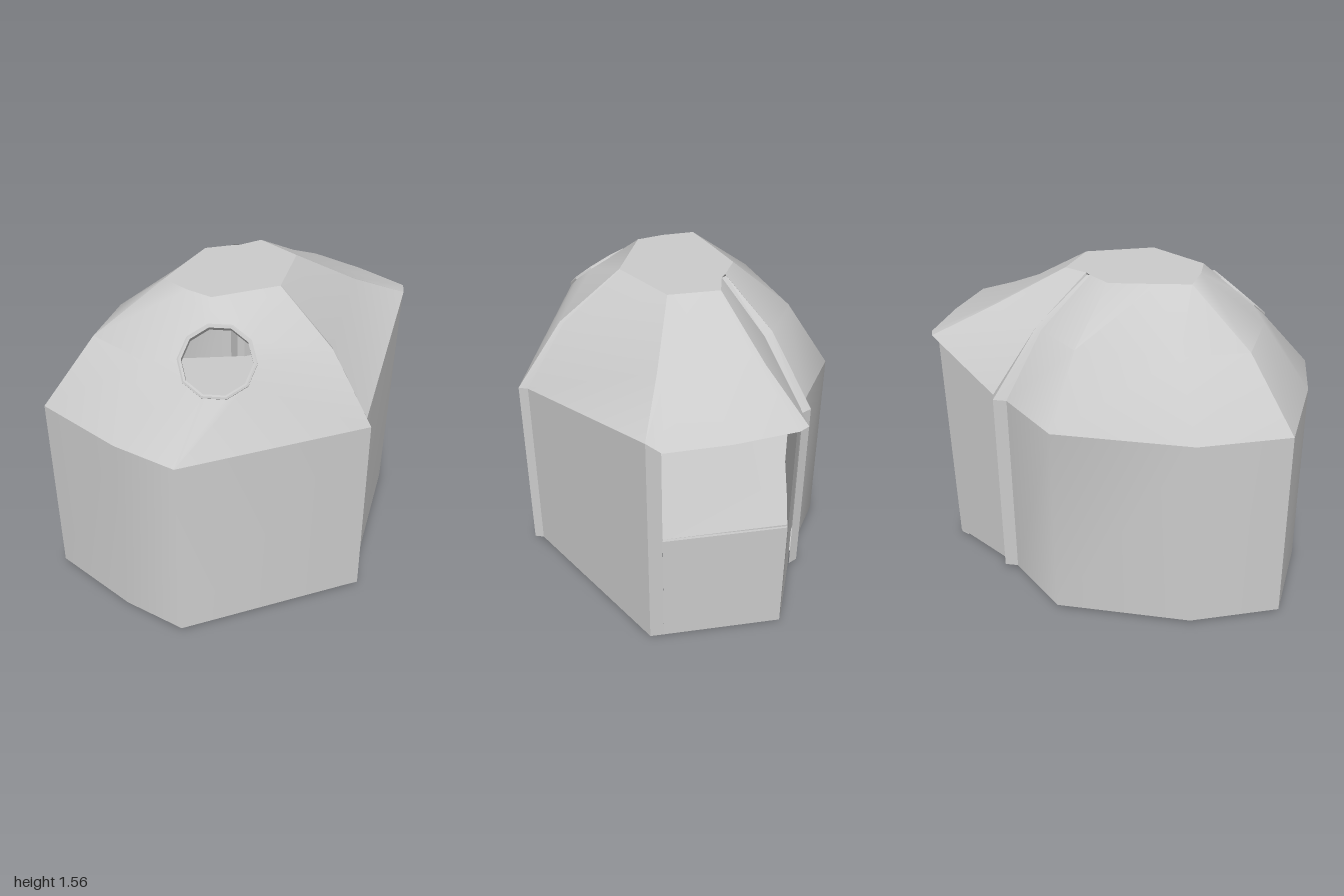
import * as THREE from 'three';
import { toCreasedNormals } from 'three/addons/utils/BufferGeometryUtils.js';

const V = (x, y, z) => new THREE.Vector3(x, y, z);
const material = new THREE.MeshStandardMaterial({ color: 0xcccccc, side: THREE.DoubleSide });

// triangle list (flat array of Vector3) to a named mesh
function meshOf(name, tris, crease = 0.95) {
  const g = new THREE.BufferGeometry().setFromPoints(tris);
  const mesh = new THREE.Mesh(toCreasedNormals(g, crease), material);
  mesh.name = name;
  return mesh;
}

// skin between rings of equal length, listed from bottom to top
function loft(rings, closed = false) {
  const tris = [], n = rings[0].length;
  for (let r = 0; r < rings.length - 1; r++) {
    for (let i = 0; i < (closed ? n : n - 1); i++) {
      const j = (i + 1) % n;
      const a = rings[r][i], b = rings[r][j], c = rings[r + 1][j], d = rings[r + 1][i];
      tris.push(a, b, c, a, c, d);
    }
  }
  return tris;
}

// fan around the centroid
function cap(ring, up = true) {
  const c = V(0, 0, 0);
  ring.forEach(p => c.addScaledVector(p, 1 / ring.length));
  return ring.flatMap((p, i) => {
    const q = ring[(i + 1) % ring.length];
    return up ? [c, p, q] : [c, q, p];
  });
}

// solid over a plan, with bottom height, top height and inward lean of the foot per corner
function prism(name, plan, low, high, lean = () => 0) {
  const bottom = plan.map(([x, z], i) => V(x - lean(x, i), low(x, i), z));
  const top = plan.map(([x, z], i) => V(x, high(x, i), z));
  return meshOf(name, [...loft([bottom, top], true), ...cap(top), ...cap(bottom, false)], 0.4);
}

const byCorner = (...values) => (x, i) => values[i];
const atHeight = (plan, y) => plan.map(([x, z]) => V(x, y, z));
const mix = (a, b, t) => a.map((p, i) => [p[0] + (b[i][0] - p[0]) * t, p[1] + (b[i][1] - p[1]) * t]);

// fills the area between an outline and a round hole, both seen counterclockwise
function holedPanel(outline, hole, centre, u, v) {
  const events = [...outline.map(p => ({ p, outer: true })), ...hole.map(p => ({ p, outer: false }))];
  events.forEach(e => {
    const d = e.p.clone().sub(centre);
    e.angle = Math.atan2(d.dot(v), d.dot(u));
  });
  events.sort((a, b) => a.angle - b.angle);
  let o = events.filter(e => e.outer).pop().p;
  let h = events.filter(e => !e.outer).pop().p;
  const tris = [];
  for (const e of events) {
    tris.push(h, o, e.p);
    if (e.outer) o = e.p; else h = e.p;
  }
  return tris;
}

export function createModel() {
  const group = new THREE.Group();
  group.name = 'hut';

  // main room plan: back seam, round the right side, to the front seam
  const eavePlan = [[0.28, -0.635], [-0.09, -0.76], [-0.69, -0.475], [-1, -0.15],
    [-0.84, 0.31], [-0.68, 0.6], [0.255, 0.757]];
  const topPlan = [[0.07, -0.235], [-0.06, -0.27], [-0.25, -0.15], [-0.385, -0.06],
    [-0.34, 0.09], [-0.28, 0.21], [0.05, 0.265]];
  const E = atHeight(eavePlan, 1);
  const M = atHeight(mix(eavePlan, topPlan, 0.43), 1.33);
  const T = atHeight(topPlan, 1.56);

  // thick outer wall with a rim at the bottom
  const wallPlan = [...eavePlan.slice(0, 6), [0.19, 0.745]];
  const innerPlan = wallPlan.map(([x, z]) => [-0.15 + (x + 0.15) * 0.94, z * 0.94]);
  const outerTop = atHeight(wallPlan, 1);
  group.add(meshOf('mainWall', loft([outerTop, atHeight(innerPlan, 1), atHeight(innerPlan, 0.02),
    atHeight(wallPlan, 0.02), outerTop])));

  // dome: plain panels plus the part pierced by the round window
  const centre = V(-0.365, 1.36, 0.42);
  const normal = V(-0.39, 0.74, 0.55).normalize();
  const u = V(0, 1, 0).cross(normal).normalize();
  const v = normal.clone().cross(u);
  const hole = Array.from({ length: 10 }, (_, i) => {
    const a = i / 10 * Math.PI * 2;
    return centre.clone().addScaledVector(u, 0.172 * Math.cos(a)).addScaledVector(v, 0.172 * Math.sin(a));
  });
  const outline = [E[4], E[5], E[6], M[6], T[6], T[5], T[4], M[4]];
  group.add(meshOf('dome', [...loft([E, M, T].map(r => r.slice(0, 5))),
    ...holedPanel(outline, hole, centre, u, v)], 0.72));

  // ten-sided window frame
  const profile = [[0.161, -0.025], [0.178, -0.025], [0.18, 0.004], [0.172, 0.01], [0.161, 0.004], [0.161, -0.025]];
  const frame = new THREE.Mesh(toCreasedNormals(
    new THREE.LatheGeometry(profile.map(p => new THREE.Vector2(...p)), 10), 0.4), material);
  frame.name = 'windowFrame';
  frame.quaternion.setFromRotationMatrix(new THREE.Matrix4().makeBasis(v, normal, u));
  frame.position.copy(centre);
  group.add(frame);

  // porch roof, from the front seam round to the back seam
  const porchEave = [V(0.26, 1, 0.71), V(0.945, 1.215, 0.065), V(1, 1.21, -0.01), V(0.92, 1.21, -0.3),
    V(0.81, 1.21, -0.58), V(0.77, 1.21, -0.62), V(0.375, 1, -0.625)];
  const porchMid = [V(0.175, 1.33, 0.525), V(0.63, 1.36, 0.04), V(0.62, 1.36, 0), V(0.6, 1.36, -0.15),
    V(0.55, 1.36, -0.4), V(0.53, 1.36, -0.43), V(0.24, 1.33, -0.43)];
  const porchTop = atHeight([[0.055, 0.26], [0.29, 0.02], [0.285, 0], [0.26, -0.1],
    [0.235, -0.2], [0.23, -0.22], [0.105, -0.22]], 1.56);
  group.add(meshOf('porchRoof', loft([porchEave, porchMid, porchTop]), 0.5));

  // flat top over both roofs
  group.add(meshOf('roofTop', cap([...T, ...porchTop])));

  // front seam: wall corner post and the small roof step
  const corner = [[0.19, 0.745], [0.255, 0.757], [0.26, 0.71]];
  group.add(meshOf('frontSeamWall', loft([atHeight(corner, 0.02), atHeight(corner, 1)])));
  group.add(meshOf('frontSeamRoof', loft([[E[6], porchEave[0]], [M[6], porchMid[0]], [T[6], porchTop[0]]])));

  // back seam: a rib up the wall and over the roof
  const ribPlan = [[0.375, -0.625], [0.34, -0.665], [0.28, -0.635]];
  group.add(meshOf('backRib', loft([
    atHeight(ribPlan, 0.02), atHeight(ribPlan, 1),
    [porchMid[6], V(0.215, 1.345, -0.465), M[0]],
    [porchTop[6], V(0.085, 1.56, -0.24), T[0]],
  ]), 0.3));

  // porch walls rise outwards with the roof
  const frontWall = [[0.26, 0.71], [0.94, 0.065], [0.925, 0], [0.22, 0.65]];
  group.add(prism('porchFrontWall', frontWall, byCorner(0.02, 0, 0, 0.02),
    byCorner(1, 1.21, 1.21, 1), byCorner(0, 0.035, 0.035, 0)));
  const backWall = [[0.78, -0.57], [0.375, -0.62], [0.33, -0.565]];
  group.add(prism('porchBackWall', backWall, () => 0.02, byCorner(1.21, 1, 1), byCorner(0.025, 0, 0)));

  // low wall under the open side
  const lowWall = [[0.905, 0], [0.77, -0.567], [0.72, -0.567], [0.855, 0]];
  group.add(prism('lowWall', lowWall, () => 0, () => 0.63, () => 0.015));

  // thin raised floor, sloping up away from the opening
  const floorPlan = [[0.33, -0.57], ...innerPlan.slice(1, 6), [0.22, 0.66], [0.89, 0], [0.76, -0.565]];
  const floorTop = x => Math.min(0.73, 0.63 + (0.89 - x) * 0.07);
  group.add(prism('floor', floorPlan, x => floorTop(x) - 0.035, floorTop));

  return group;
}
